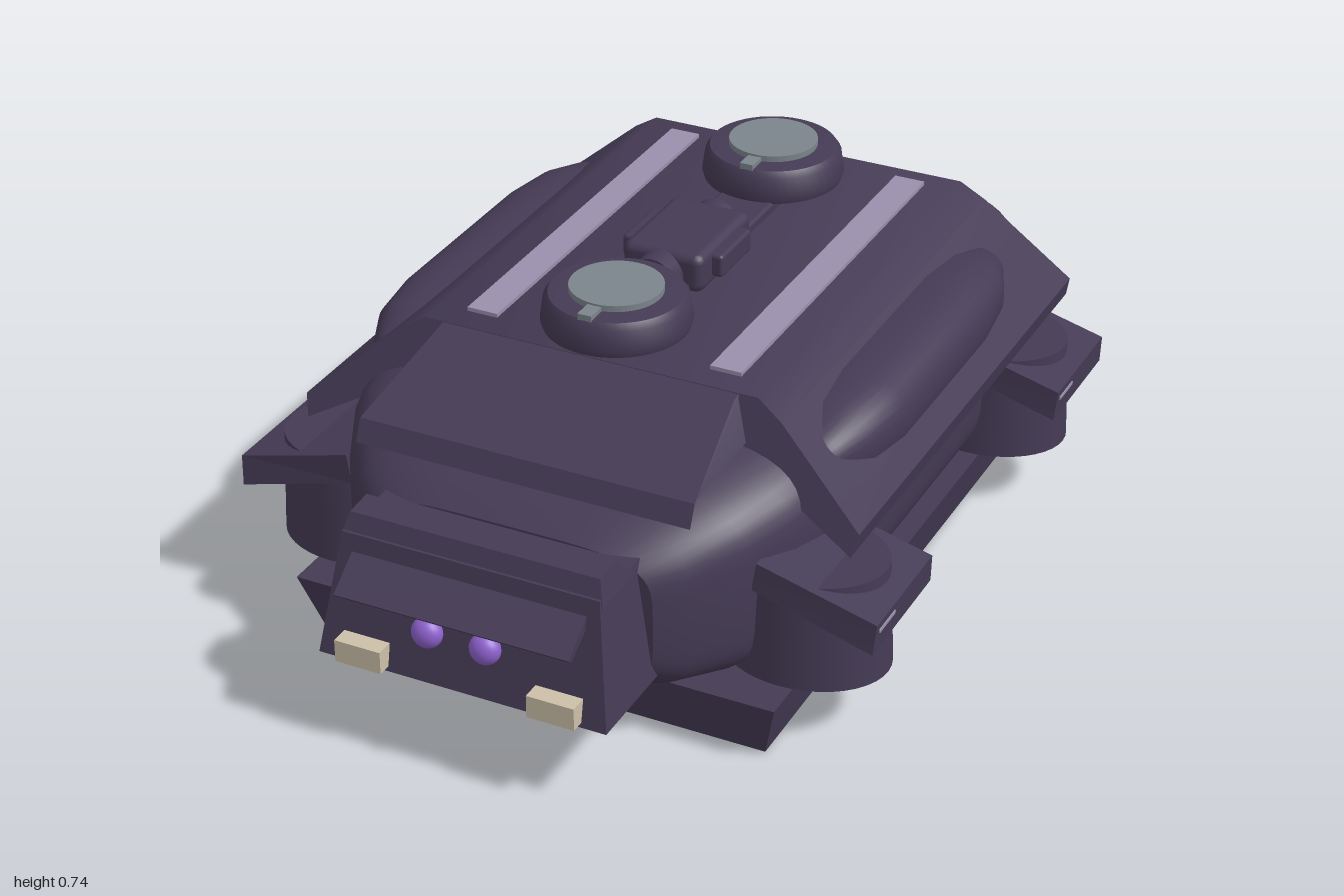
import * as THREE from 'three';
import { toCreasedNormals } from 'three/addons/utils/BufferGeometryUtils.js';
import { RoundedBoxGeometry } from 'three/addons/geometries/RoundedBoxGeometry.js';

const material = (name, color) => {
  const m = new THREE.MeshStandardMaterial({ color });
  m.name = name;
  return m;
};

// Closed skin through superellipse rings: [z, half width, bottom y, top y, centre x]
function loft(sections, power, sides = 48) {
  const pos = [], index = [];
  for (const [z, w, y0, y1, cx = 0] of sections) {
    for (let j = 0; j < sides; j++) {
      const a = (j / sides) * Math.PI * 2, c = Math.cos(a), s = Math.sin(a);
      pos.push(cx + w * Math.sign(c) * Math.abs(c) ** (2 / power),
        (y0 + y1) / 2 + ((y1 - y0) / 2) * Math.sign(s) * Math.abs(s) ** (2 / power), z);
    }
  }
  for (let i = 0; i < sections.length - 1; i++) {
    for (let j = 0; j < sides; j++) {
      const a = i * sides + j, b = i * sides + (j + 1) % sides;
      index.push(a, b, b + sides, a, b + sides, a + sides);
    }
  }
  const last = (sections.length - 1) * sides;
  for (let j = 1; j < sides - 1; j++) {
    index.push(0, j + 1, j, last, last + j, last + j + 1);
  }
  const g = new THREE.BufferGeometry();
  g.setAttribute('position', new THREE.Float32BufferAttribute(pos, 3));
  g.setIndex(index);
  return toCreasedNormals(g, 0.6);
}

// Straight extrusion along z, centred on z = 0
function prism(points, depth) {
  const shape = new THREE.Shape(points.map(([x, y]) => new THREE.Vector2(x, y)));
  return new THREE.ExtrudeGeometry(shape, { depth, bevelEnabled: false }).translate(0, 0, -depth / 2);
}

// Side profile given as [z, y], extruded across the model's width
const crossPrism = (points, width) => prism(points.map(([z, y]) => [-z, y]), width).rotateY(Math.PI / 2);

// Moves every vertex by a rule and refreshes the normals
function reshape(geometry, rule) {
  const g = geometry.index ? geometry.toNonIndexed() : geometry;
  const p = g.attributes.position, v = new THREE.Vector3();
  for (let i = 0; i < p.count; i++) {
    rule(v.fromBufferAttribute(p, i));
    p.setXYZ(i, v.x, v.y, v.z);
  }
  return toCreasedNormals(g, 0.6);
}

export function createModel() {
  const model = new THREE.Group();
  model.name = 'armouredCrawler';
  const body = material('darkPlum', 0x453b55);
  const pale = material('paleLilac', 0x9a90ac);
  const grey = material('slateGrey', 0x7b858b);
  const purple = material('glowPurple', 0x8f62cf);
  const beige = material('lampBeige', 0xcdc0a8);

  const add = (name, geometry, mat, x = 0, y = 0, z = 0, parent = model) => {
    const mesh = new THREE.Mesh(geometry, mat);
    mesh.name = name;
    mesh.position.set(x, y, z);
    parent.add(mesh);
    return mesh;
  };
  const box = (w, h, d, r = 0.008) => new RoundedBoxGeometry(w, h, d, 2, r);

  // Flared base tub
  add('baseTub', reshape(new THREE.BoxGeometry(1, 0.13, 1), (v) => {
    const top = v.y > 0;
    v.x *= top ? 1.06 : 0.99;
    v.z = v.z > 0 ? (top ? 0.70 : 0.66) : (top ? -0.755 : -0.72);
    v.y += 0.065;
  }), body);

  // Rounded hull
  add('hull', loft([
    [-0.85, 0.33, 0.19, 0.48], [-0.73, 0.455, 0.10, 0.56], [-0.64, 0.515, 0.09, 0.57],
    [-0.5, 0.53, 0.09, 0.58], [0.38, 0.53, 0.09, 0.57], [0.52, 0.49, 0.095, 0.54],
    [0.62, 0.44, 0.10, 0.515], [0.72, 0.37, 0.12, 0.475], [0.77, 0.31, 0.15, 0.44],
  ], 4.5), body);

  // Upper shell with overhanging sides; its ends lean in towards the roof
  const shell = [[0.6, 0.39], [0.61, 0.435], [0.42, 0.6], [0.365, 0.635]];
  const shellOutline = [...shell, ...shell.map(([x, y]) => [-x, y]).reverse(), [-0.4, 0.5], [0.4, 0.5]];
  add('upperShell', reshape(prism(shellOutline, 1), (v) => {
    const rise = v.y - 0.39;
    v.z = v.z > 0 ? 0.515 - rise * 0.35 : -0.655 + rise * 0.22;
  }), body);

  // Sloping hood plate in front of the roof
  add('hoodPlate', reshape(crossPrism([[0.42, 0.635], [0.45, 0.63], [0.695, 0.545], [0.715, 0.5], [0.69, 0.485], [0.42, 0.56]], 0.72),
    (v) => { v.x *= v.y > 0.6 ? 0.9 : v.y < 0.49 ? 0.88 : 1; }), body);

  for (const side of [1, -1]) {
    // Long bulge on the sloping shell side
    add('sideBulge', loft([
      [-0.52, 0.02, 0.46, 0.52], [-0.47, 0.065, 0.44, 0.56], [-0.38, 0.10, 0.42, 0.58], [-0.25, 0.115, 0.41, 0.59],
      [0.18, 0.115, 0.41, 0.59], [0.3, 0.10, 0.42, 0.58], [0.38, 0.065, 0.44, 0.55], [0.43, 0.02, 0.46, 0.51],
    ], 2.4, 32), body, side * 0.457);

    // Pale roof strip
    add('roofStrip', new THREE.BoxGeometry(0.067, 0.009, 0.92), pale, side * 0.268, 0.639, -0.09);

    // Foot pods under tilted fenders
    for (const z of [0.48, -0.485]) {
      const pod = add('footPod', new THREE.CylinderGeometry(0.94, 1, 0.23, 40), body, side * 0.5, 0.245, z);
      pod.scale.set(0.172, 1, 0.138);
      add('fender', reshape(prism([[0.44, 0.33], [0.695, 0.262], [0.7, 0.325], [0.45, 0.392]], 0.287), (v) => {
        v.x *= side;
        if (v.y > 0.32) v.z *= 0.94;
      }).clone(), body, 0, 0, z);
      add('fenderMark', new THREE.BoxGeometry(0.004, 0.007, 0.075), pale, side * 0.699, 0.306, z + 0.085);
    }

    // Eyes, lamps and rear thrusters
    add('eye', new THREE.SphereGeometry(0.032, 20, 14), purple, side * 0.062, 0.302, 0.972).scale.z = 0.8;
    add('lamp', new THREE.BoxGeometry(0.1, 0.048, 0.04), beige, side * 0.207, 0.214, 0.972);
    add('thruster', new THREE.CylinderGeometry(0.065, 0.065, 0.05, 28).rotateX(Math.PI / 2), purple, side * 0.185, 0.31, -0.975);
  }
  // Mirrored fenders need their face order turned round
  model.children.filter((m) => m.name === 'fender' && m.geometry.boundingBox === null).forEach((m) => {
    const g = m.geometry, p = g.attributes.position;
    g.computeBoundingBox();
    if (g.boundingBox.max.x > 0) return;
    for (let i = 0; i < p.count; i += 3) {
      const a = [p.getX(i), p.getY(i), p.getZ(i)];
      p.setXYZ(i, p.getX(i + 1), p.getY(i + 1), p.getZ(i + 1));
      p.setXYZ(i + 1, ...a);
    }
    g.computeVertexNormals();
  });

  // Head block with a tapered top, brow ridge and visor
  add('head', reshape(crossPrism([[0.68, 0.18], [0.965, 0.18], [0.915, 0.435], [0.68, 0.435]], 0.62),
    (v) => { v.x *= 1 - (v.y - 0.18) * 0.45; }), body);
  add('browRidge', reshape(crossPrism([[0.78, 0.42], [0.915, 0.42], [0.895, 0.47], [0.835, 0.475]], 0.56),
    (v) => { v.x *= v.y > 0.45 ? 0.95 : 1; }), body);
  add('visor', crossPrism([[0.915, 0.405], [0.995, 0.345], [0.985, 0.335], [0.905, 0.385]], 0.5), body);

  // Rear block with vent slats
  add('rearBlock', reshape(crossPrism([[-0.7, 0.21], [-0.7, 0.42], [-0.87, 0.415], [-0.965, 0.375], [-0.98, 0.33], [-0.965, 0.215]], 0.62),
    (v) => { v.x *= v.y > 0.37 ? 0.97 : 1; }), body);
  for (const z of [-0.87, -0.9, -0.935]) add('ventSlat', box(0.47, 0.035, 0.018, 0.004), body, 0, 0.402, z);

  // Two round hatches with slate discs
  const hatchProfile = [[0, 0.62], [0.115, 0.62], [0.115, 0.65], [0.148, 0.652], [0.152, 0.665], [0.146, 0.708],
    [0.136, 0.722], [0.1, 0.724], [0, 0.724]].map(([x, y]) => new THREE.Vector2(x, y));
  for (const z of [0.305, -0.43]) {
    const hatch = new THREE.Group();
    hatch.name = 'roofHatch';
    hatch.position.z = z;
    model.add(hatch);
    add('hatchRing', toCreasedNormals(new THREE.LatheGeometry(hatchProfile, 48), 0.5), body, 0, 0, 0, hatch);
    add('hatchDisc', new THREE.CylinderGeometry(0.095, 0.095, 0.016, 40), grey, 0, 0.729, 0, hatch);
    add('hatchTab', new THREE.BoxGeometry(0.03, 0.014, 0.06), grey, 0, 0.726, 0.107, hatch);
  }

  // Central roof unit between the hatches
  add('roofRail', box(0.125, 0.03, 0.6), body, 0, 0.64, -0.06);
  add('unitCore', box(0.18, 0.085, 0.24, 0.02), body, 0, 0.676, -0.01);
  add('unitBarrel', new THREE.CylinderGeometry(0.05, 0.05, 0.3, 24).rotateX(Math.PI / 2), body, 0, 0.666, 0);
  for (const side of [1, -1]) add('unitCheek', box(0.03, 0.05, 0.14), body, side * 0.098, 0.68, -0.01);
  add('unitLens', new THREE.CylinderGeometry(0.036, 0.036, 0.012, 24).rotateX(Math.PI / 2), purple, 0, 0.672, -0.154);

  return model;
}
